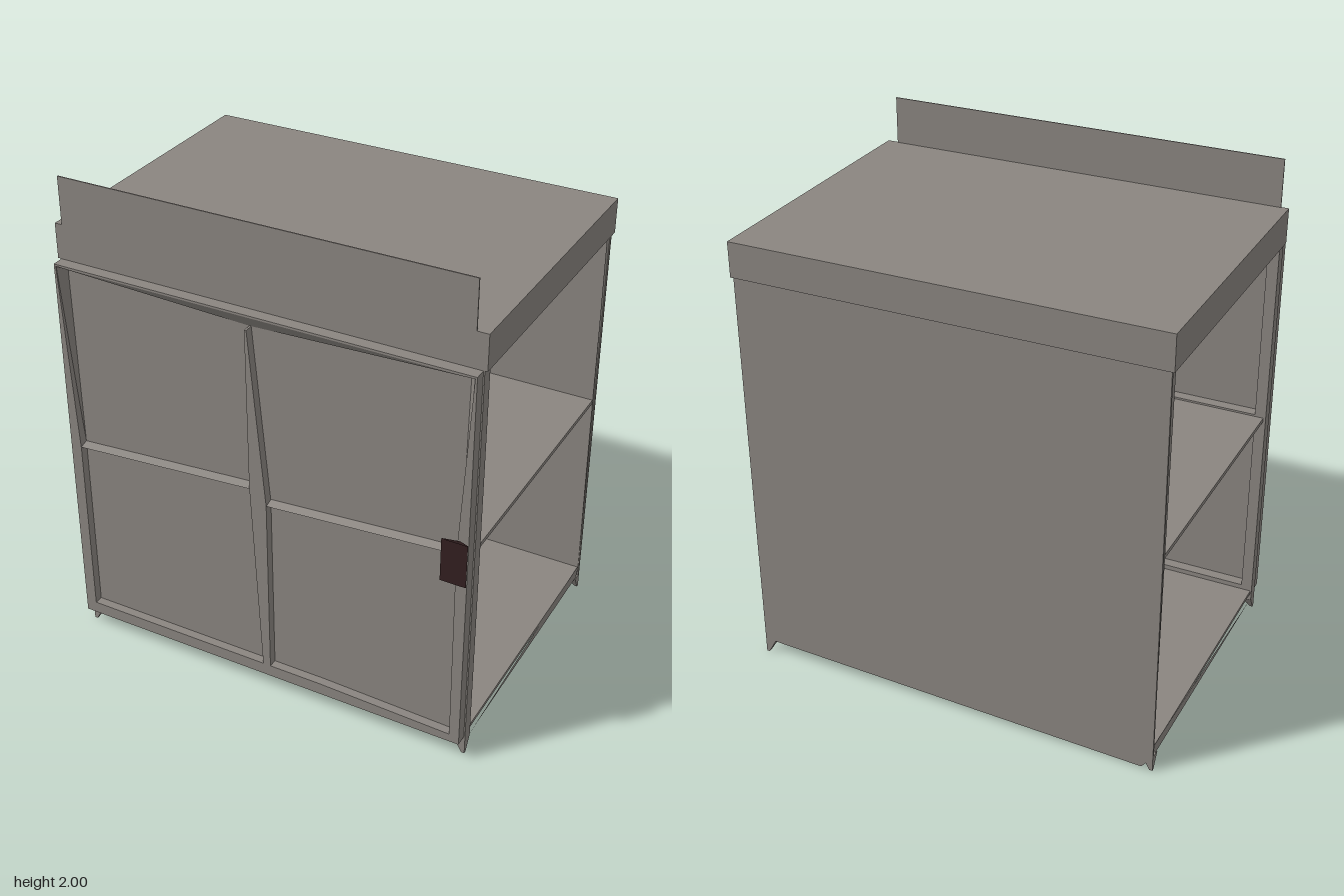
import * as THREE from 'three';

export function createModel() {
  const root = new THREE.Group();
  root.name = 'cabinet';
  const wood = new THREE.MeshStandardMaterial({ color: 0x8a8580, side: THREE.DoubleSide, flatShading: true });
  wood.name = 'greyWood';
  const dark = new THREE.MeshStandardMaterial({ color: 0x331f20, side: THREE.DoubleSide, flatShading: true });
  dark.name = 'darkMetal';

  const add = (name, geo, mat = wood) => {
    const mesh = new THREE.Mesh(geo, mat);
    mesh.name = name;
    root.add(mesh);
    return mesh;
  };
  // Box given by its limits on each axis
  const box = (name, x0, x1, y0, y1, z0, z1, mat) => {
    const g = new THREE.BoxGeometry(x1 - x0, y1 - y0, z1 - z0);
    g.translate((x0 + x1) / 2, (y0 + y1) / 2, (z0 + z1) / 2);
    return add(name, g, mat);
  };
  // Outline in the front plane, extruded from z0 to z1
  const slab = (name, pts, z0, z1) => {
    const shape = new THREE.Shape(pts.map(([x, y]) => new THREE.Vector2(x, y)));
    const g = new THREE.ExtrudeGeometry(shape, { depth: z1 - z0, bevelEnabled: false });
    g.translate(0, 0, z0);
    return add(name, g);
  };
  // Flat facet through three or four corners
  const facet = (name, corners, mat) => {
    const g = new THREE.BufferGeometry();
    g.setAttribute('position', new THREE.Float32BufferAttribute(corners.flat(), 3));
    g.setIndex(corners.length === 4 ? [0, 1, 2, 0, 2, 3] : [0, 1, 2]);
    g.computeVertexNormals();
    return add(name, g, mat);
  };

  // Top and upright board
  box('counterTop', -0.855, 0.855, 1.67, 1.81, -0.617, 0.55);
  box('uprightBoard', -0.825, 0.81, 1.8, 2, 0.545, 0.55);

  // Back panel with a slanted lower edge
  slab('backPanel', [[-0.845, 0.06], [-0.8, 0.005], [0.8, 0.06], [0.845, 0.06], [0.845, 1.67], [-0.845, 1.67]], -0.612, -0.602);

  // Floor and middle shelf
  box('floor', -0.84, 0.84, 0.085, 0.1, -0.605, 0.51);
  box('shelf', -0.835, 0.835, 0.915, 0.932, -0.602, 0.51);

  // Front frame behind the door
  box('topRail', -0.845, 0.845, 1.61, 1.67, 0.505, 0.55);
  box('apron', -0.8, 0.8, 0.055, 0.12, 0.505, 0.55);
  box('innerCrossbar', -0.8, 0.8, 0.9, 0.94, 0.505, 0.55);
  box('innerMullion', -0.035, 0.03, 0.1, 1.65, 0.505, 0.55);

  for (const s of [-1, 1]) {
    const side = s > 0 ? 'left' : 'right';
    box(side + 'FrontPost', Math.min(s * 0.8, s * 0.845), Math.max(s * 0.8, s * 0.845), 0.055, 1.67, 0.505, 0.55);
    // Tapered feet that point to the outer corners
    for (const f of [-1, 1]) {
      const zOut = f > 0 ? 0.55 : -0.612;
      const g = new THREE.BoxGeometry(1, 1, 1);
      const p = g.attributes.position;
      for (let i = 0; i < p.count; i++) {
        const low = p.getY(i) < 0;
        const w = low ? 0.012 : 0.045;
        p.setXYZ(i, s * (0.845 - (p.getX(i) + 0.5) * w), low ? 0 : 0.06, zOut - f * (p.getZ(i) + 0.5) * w);
      }
      if (s * f < 0) g.setIndex(Array.from(g.index.array).reverse());
      g.computeVertexNormals();
      add(side + (f > 0 ? 'FrontFoot' : 'BackFoot'), g);
    }
    // Thin side strips around the open sides
    const x = s * 0.842;
    facet(side + 'BackStrip', [[x, 1.67, -0.57], [x, 0.06, -0.6], [x, 0.06, -0.612], [x, 1.67, -0.612]]);
    facet(side + 'LowerStrip', [[x, 0.058, 0.5], [x, 0.06, -0.58], [x, 0.11, -0.61]]);
    facet(side + 'UpperStrip', [[x, 1.655, 0.51], [x, 1.655, -0.6], [x, 1.672, -0.6], [x, 1.672, 0.51]]);
  }

  // Door panel and its thin raised border
  const zp = 0.562, zf = 0.597;
  box('doorPanel', -0.84, 0.84, 0.08, 1.67, 0.55, zp);
  box('doorTopEdge', -0.84, 0.84, 1.662, 1.67, 0.55, zf);
  slab('doorBottomRail', [[-0.84, 0.08], [0.84, 0.08], [0.8, 0.115], [0.25, 0.13], [-0.795, 0.13]], zp, zf);
  slab('doorRightStile', [[-0.84, 0.08], [-0.795, 0.13], [-0.795, 0.885], [-0.833, 1.67], [-0.84, 1.67]], zp, zf);
  slab('doorLeftStile', [[0.84, 0.08], [0.84, 1.67], [0.833, 1.67], [0.795, 0.95], [0.8, 0.115]], zp, zf);
  slab('doorMullion', [[0.0, 0.13], [0.032, 0.13], [0.032, 0.89], [-0.03, 1.61], [-0.038, 1.61], [-0.038, 0.95]], zp, zf);

  // Sloping reveals along the top and sides of the door
  for (const s of [-1, 1]) {
    facet('topReveal', [[s * 0.83, 1.662, zf], [-0.035, 1.662, zf], [-0.035, 1.61, zp], [s * 0.8, 1.645, zp]]);
    facet('sideReveal', [[s * 0.835, 1.66, zf], [s * 0.795, 0.9, zf], [s * 0.795, 0.9, zp], [s * 0.805, 1.645, zp]]);
  }

  // Wedge-shaped crossbars, one to each half
  for (const [x0, x1] of [[-0.795, -0.038], [0.032, 0.795]]) {
    facet('crossbarTop', [[x0, 0.89, zf], [x1, 0.945, zf], [x1, 0.955, zp], [x0, 0.9, zp]]);
    facet('crossbarUnderside', [[x0, 0.89, zf], [x0, 0.882, zp], [x1, 0.93, zp], [x1, 0.945, zf]]);
  }

  // Bent handle plate
  facet('handleOuter', [[0.745, 0.83, 0.615], [0.81, 0.83, 0.602], [0.81, 1.01, 0.602], [0.745, 1.01, 0.615]], dark);
  facet('handleInner', [[0.81, 0.83, 0.602], [0.845, 0.83, 0.615], [0.845, 1.01, 0.615], [0.81, 1.01, 0.602]], dark);
  facet('handleFace', [[0.745, 0.83, 0.617], [0.845, 0.83, 0.617], [0.845, 1.01, 0.617], [0.745, 1.01, 0.617]], dark);

  return root;
}
